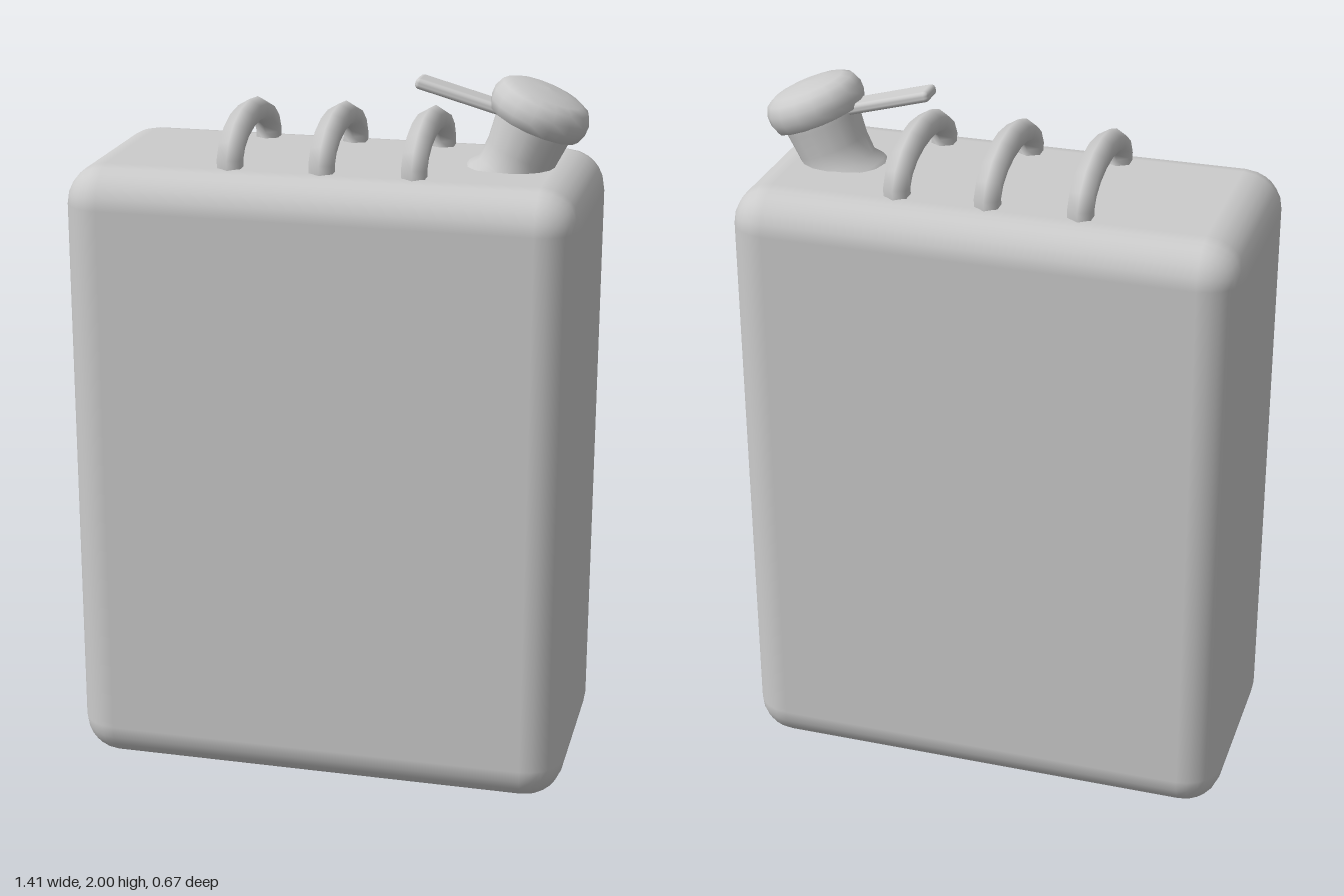
import * as THREE from 'three';
import { mergeVertices } from 'three/addons/utils/BufferGeometryUtils.js';
import { RoundedBoxGeometry } from 'three/addons/geometries/RoundedBoxGeometry.js';

const material = new THREE.MeshStandardMaterial({ color: 0xcccccc });

function addPart(parent, name, geometry, x = 0, y = 0, z = 0) {
  const mesh = new THREE.Mesh(geometry, material);
  mesh.name = name;
  mesh.position.set(x, y, z);
  parent.add(mesh);
  return mesh;
}

// Six-sided half ring, its arch flattened to the given rise without thinning the bar
function handleGeometry(radius, rise, bar) {
  const extra = 0.25; // feet carry on into the tank
  const ring = new THREE.TorusGeometry(radius, bar, 6, 10, Math.PI + 2 * extra);
  ring.rotateZ(-extra);
  const p = ring.attributes.position;
  for (let i = 0; i < p.count; i++) {
    const angle = Math.atan2(p.getY(i), p.getX(i));
    p.setY(i, p.getY(i) - (radius - rise) * Math.sin(angle));
  }
  ring.deleteAttribute('uv');
  ring.deleteAttribute('normal');
  const smooth = mergeVertices(ring);
  smooth.computeVertexNormals();
  smooth.rotateY(Math.PI / 2);
  return smooth;
}

function lathe(points, sides) {
  return new THREE.LatheGeometry(points.map(([r, y]) => new THREE.Vector2(r, y)), sides);
}

export function createModel() {
  const model = new THREE.Group();
  model.name = 'fuelCan';

  // Tank
  addPart(model, 'tank', new RoundedBoxGeometry(1.41, 1.76, 0.67, 3, 0.11), 0, 0.88, 0);

  // Three carrying handles across the top
  const handle = handleGeometry(0.204, 0.1, 0.037);
  [-0.254, 0, 0.252].forEach((x, i) => addPart(model, `handle${i + 1}`, handle, x, 1.769, 0));

  // Spout leaning towards the left side, with its cap
  const spout = new THREE.Group();
  spout.name = 'spout';
  spout.position.set(0.555, 1.92, 0);
  spout.rotation.z = -0.384;
  model.add(spout);

  addPart(spout, 'neck', lathe([
    [0.13, -0.25], [0.122, -0.21], [0.101, -0.185], [0.099, -0.13], [0.106, -0.06], [0.106, -0.03],
  ], 16));
  addPart(spout, 'cap', lathe([
    [0, -0.048], [0.11, -0.048], [0.128, -0.044], [0.137, -0.018], [0.137, 0.008],
    [0.125, 0.034], [0.1, 0.047], [0.055, 0.056], [0, 0.059],
  ], 16));

  // Flat lever that opens the cap
  const lever = addPart(model, 'lever', new RoundedBoxGeometry(0.29, 0.03, 0.08, 2, 0.012), 0.357, 1.941, 0);
  lever.rotation.z = -0.27;

  return model;
}
